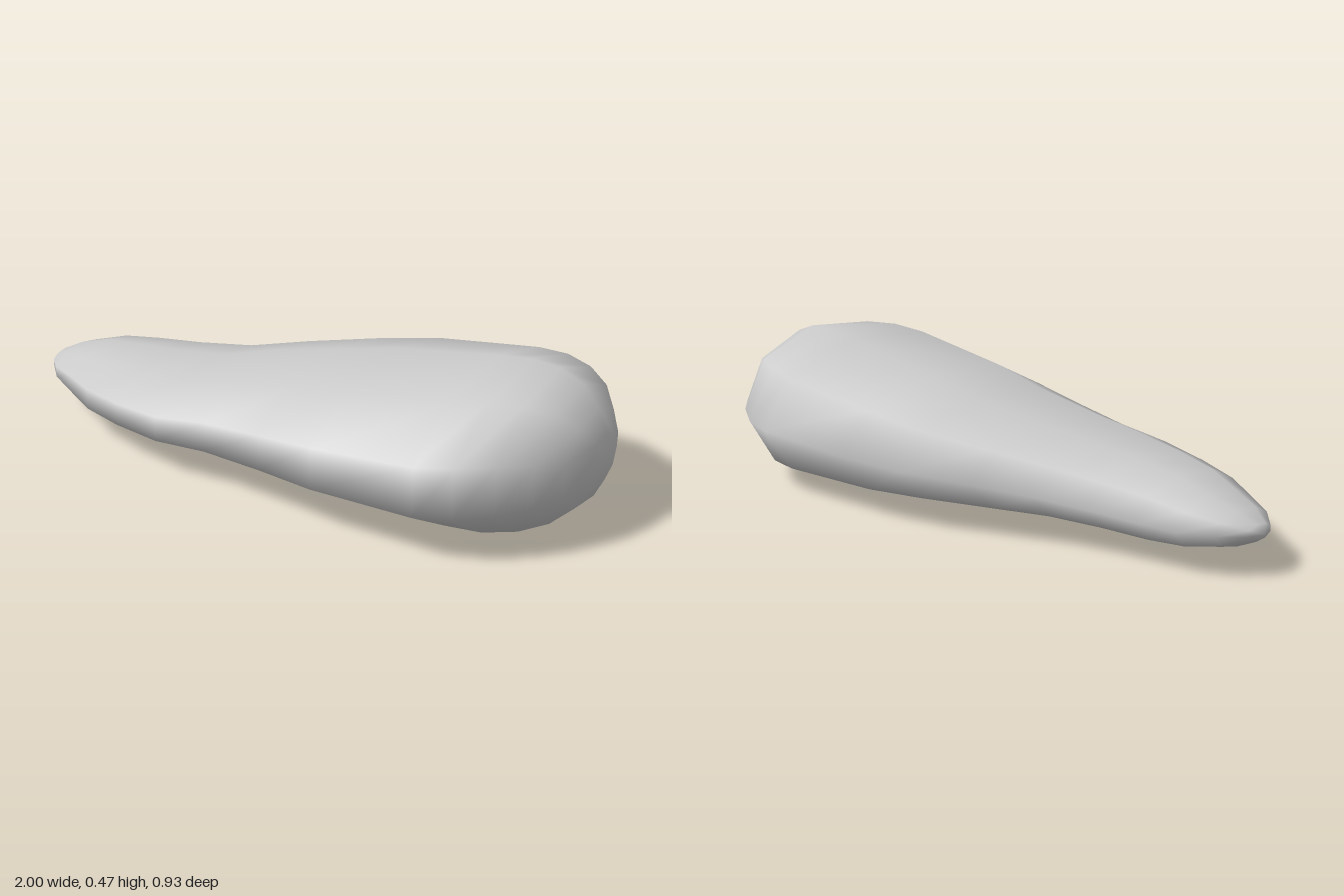
import * as THREE from 'three';

// Cross-sections along the body: x, back z, front z, bottom y, top y
const SECTIONS = [
  [-0.98, -0.05, 0.065, 0.105, 0.155],
  [-0.92, -0.12, 0.13, 0.08, 0.185],
  [-0.82, -0.175, 0.19, 0.06, 0.215],
  [-0.69, -0.193, 0.27, 0.046, 0.24],
  [-0.53, -0.215, 0.33, 0.046, 0.258],
  [-0.35, -0.255, 0.375, 0.046, 0.28],
  [-0.17, -0.33, 0.376, 0.042, 0.318],
  [0.05, -0.415, 0.41, 0.034, 0.36],
  [0.25, -0.455, 0.445, 0.018, 0.405],
  [0.6, -0.465, 0.462, 0.005, 0.461],
  [0.71, -0.43, 0.425, 0.002, 0.476],
  [0.81, -0.36, 0.36, 0.018, 0.474],
  [0.89, -0.28, 0.28, 0.05, 0.445],
  [0.95, -0.18, 0.195, 0.105, 0.39],
  [0.985, -0.09, 0.1, 0.17, 0.325],
];
const TIP = [-1, 0.128, 0.01];
const END = [1, 0.25, 0];
const SIDES = 9;

// Nine-sided oval with one corner pointing straight back
function ring([x, back, front, bottom, top]) {
  const rz = (front - back) / (1 + Math.cos(Math.PI / 9));
  const ry = (top - bottom) / 2 / Math.sin((Math.PI * 5) / 9);
  const points = [];
  for (let j = 0; j < SIDES; j++) {
    const a = Math.PI + (j * 2 * Math.PI) / SIDES;
    points.push(x, (top + bottom) / 2 + ry * Math.sin(a), back + rz + rz * Math.cos(a));
  }
  return points;
}

function loft() {
  const positions = SECTIONS.flatMap(ring);
  const tip = SECTIONS.length * SIDES;
  positions.push(...TIP, ...END);
  const last = tip - SIDES;
  const index = [];
  for (let j = 0; j < SIDES; j++) {
    const k = (j + 1) % SIDES;
    for (let i = 0; i < last; i += SIDES) {
      index.push(i + j, i + SIDES + j, i + SIDES + k, i + j, i + SIDES + k, i + k);
    }
    // close both ends
    index.push(tip, j, k, tip + 1, last + k, last + j);
  }
  const geometry = new THREE.BufferGeometry();
  geometry.setAttribute('position', new THREE.Float32BufferAttribute(positions, 3));
  geometry.setIndex(index);
  geometry.computeVertexNormals();
  return geometry;
}

export function createModel() {
  const group = new THREE.Group();
  const body = new THREE.Mesh(loft(), new THREE.MeshStandardMaterial({ color: 0xcccccc }));
  body.name = 'body';
  group.add(body);
  return group;
}
